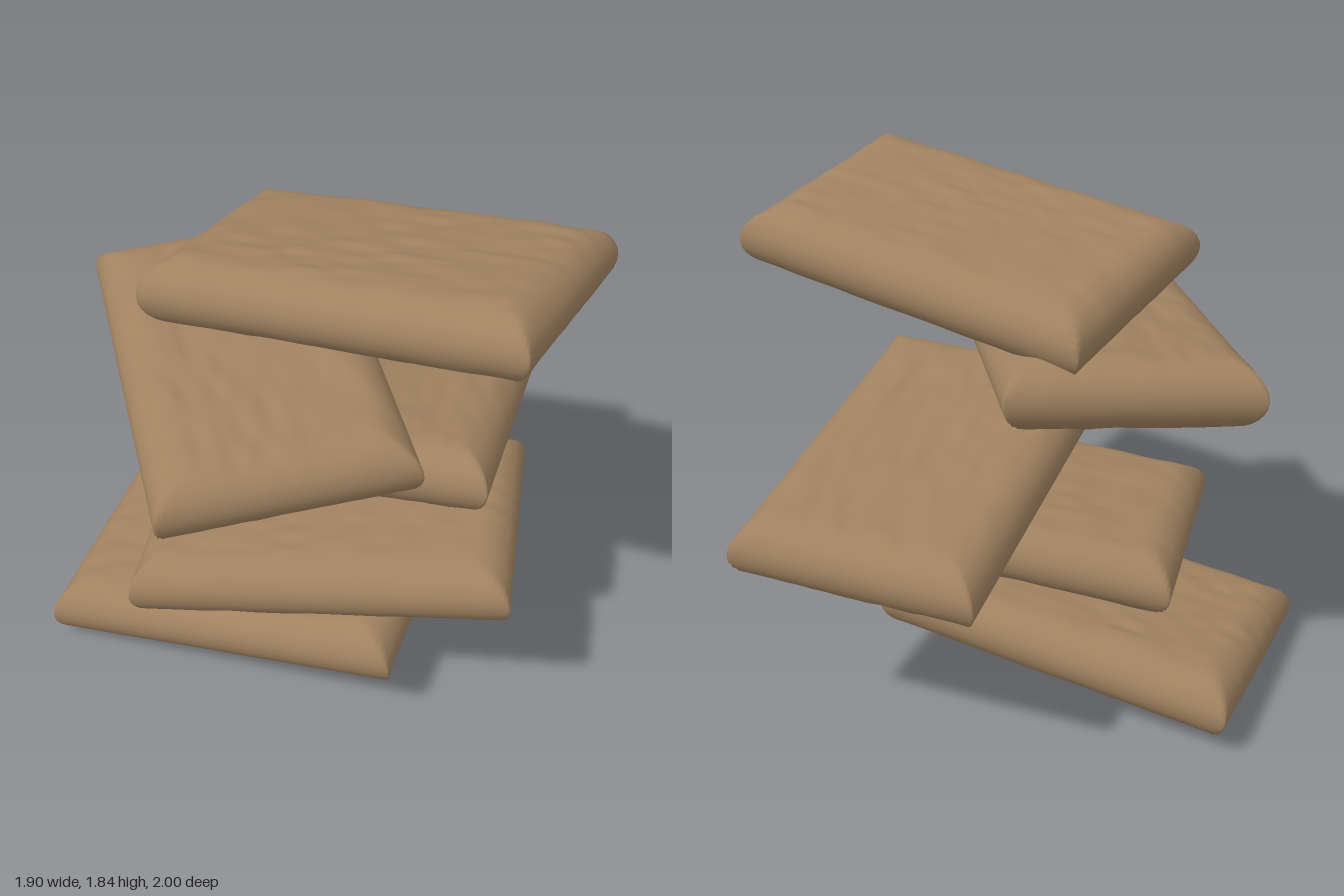
import * as THREE from 'three';
import { mergeVertices } from 'three/addons/utils/BufferGeometryUtils.js';

const LENGTH = 1.365, WIDTH = 0.878, HALF_THICK = 0.123, EDGE = 0.14;

// Rows across a slab: dense on the rounded edges, even on the flat. Each has a position and a height factor.
function rows(half, flatSteps, edgeSteps = 8) {
  const list = [];
  for (let i = 0; i <= edgeSteps; i++) {
    const a = (i / edgeSteps) * Math.PI / 2;
    list.push({ p: -half + EDGE * (1 - Math.cos(a)), h: Math.sin(a) });
  }
  const inner = half - EDGE;
  for (let i = 1; i < flatSteps; i++) list.push({ p: -inner + (2 * inner * i) / flatSteps, h: 1 });
  for (let i = edgeSteps; i >= 0; i--) list.push({ p: -list[i].p, h: list[i].h });
  return list;
}

// Smooth lattice noise from -1 to 1
function noise(x, z, seed) {
  const hash = (i, j) => {
    const s = Math.sin(i * 127.1 + j * 311.7 + seed * 74.7) * 43758.5453;
    return (s - Math.floor(s)) * 2 - 1;
  };
  const i = Math.floor(x), j = Math.floor(z);
  const ease = (t) => t * t * (3 - 2 * t);
  const u = ease(x - i), v = ease(z - j);
  return THREE.MathUtils.lerp(
    THREE.MathUtils.lerp(hash(i, j), hash(i + 1, j), u),
    THREE.MathUtils.lerp(hash(i, j + 1), hash(i + 1, j + 1), u), v);
}

// Cushion-edged slab with square corners in plan and faintly rippled faces
function slabGeometry(seed) {
  const xs = rows(LENGTH / 2, 40), zs = rows(WIDTH / 2, 40);
  const positions = [], index = [];
  for (const side of [1, -1]) {
    const base = positions.length / 3;
    for (const z of zs) {
      for (const x of xs) {
        const h = Math.min(x.h, z.h);
        const ripple = 0.006 * noise(x.p / 0.11, z.p / 0.05, seed + side);
        positions.push(x.p, side * h * (HALF_THICK + ripple * h), z.p);
      }
    }
    for (let j = 0; j < zs.length - 1; j++) {
      for (let i = 0; i < xs.length - 1; i++) {
        const a = base + j * xs.length + i, b = a + 1, c = a + xs.length, d = c + 1;
        if (side > 0) index.push(a, c, b, b, c, d);
        else index.push(a, b, c, b, d, c);
      }
    }
  }
  const geometry = new THREE.BufferGeometry();
  geometry.setAttribute('position', new THREE.Float32BufferAttribute(positions, 3));
  geometry.setIndex(index);
  const welded = mergeVertices(geometry, 1e-5);
  welded.computeVertexNormals();
  return welded;
}

export function createModel() {
  const group = new THREE.Group();
  group.name = 'stackedSlabs';
  const stone = new THREE.MeshStandardMaterial({ color: 0xa08260 });
  stone.name = 'brown stone';

  // Each slab: centre, direction of its length, direction of its width
  const slabs = [
    ['bottomSlab', [-0.265, 0.215, 0.07], [1.35, 0.155, 0.035], [-0.01, -0.05, 0.88]],
    ['secondSlab', [0.075, 0.57, 0.13], [1.34, 0.15, -0.2], [0.13, 0, 0.86]],
    ['middleSlab', [0.217, 0.915, -0.315], [0.045, 0.195, 1.345], [-0.875, -0.03, 0.025]],
    ['fourthSlab', [-0.222, 1.273, 0.19], [0.7, -0.14, 1.16], [-0.745, -0.05, 0.44]],
    ['topSlab', [0.205, 1.63, 0.045], [1.34, 0.155, 0.19], [-0.13, 0.11, 0.86]],
  ];
  slabs.forEach(([name, centre, along, across], k) => {
    const x = new THREE.Vector3(...along).normalize();
    const y = new THREE.Vector3(...across).cross(x).normalize();
    const z = new THREE.Vector3().crossVectors(x, y);
    const slab = new THREE.Mesh(slabGeometry(k * 5 + 1), stone);
    slab.name = name;
    slab.quaternion.setFromRotationMatrix(new THREE.Matrix4().makeBasis(x, y, z));
    slab.position.set(...centre);
    group.add(slab);
  });
  return group;
}
